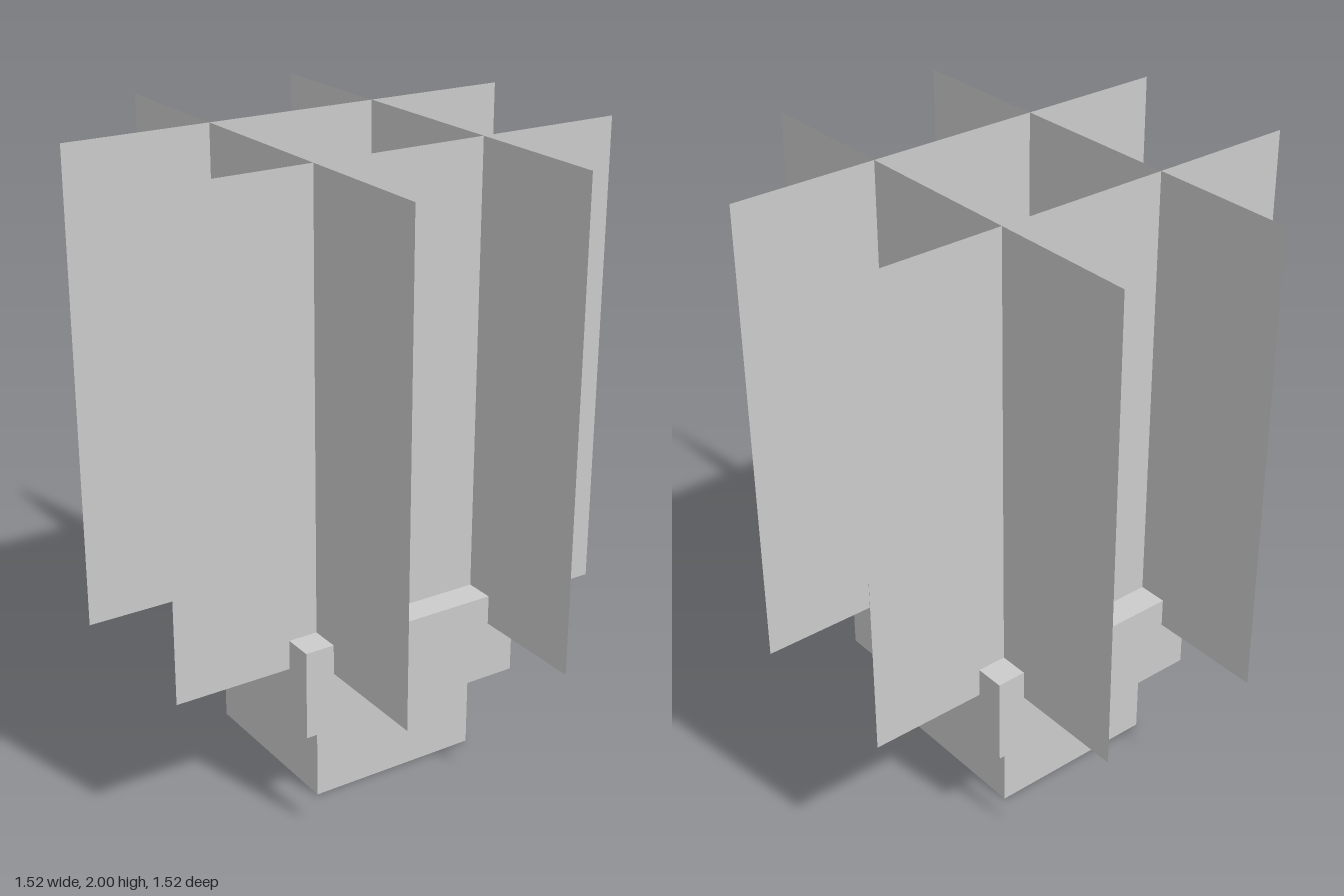
import * as THREE from 'three';

const U = 2 / 21; // model unit: 21 units tall

export function createModel() {
  const model = new THREE.Group();
  const solid = new THREE.MeshStandardMaterial({ color: 0xcccccc, flatShading: true });
  const thin = new THREE.MeshStandardMaterial({ color: 0xcccccc, flatShading: true, side: THREE.DoubleSide });

  // Square block standing between two heights
  function block(name, width, bottom, top) {
    const mesh = new THREE.Mesh(new THREE.BoxGeometry(width * U, (top - bottom) * U, width * U), solid);
    mesh.name = name;
    mesh.position.y = ((bottom + top) / 2) * U;
    model.add(mesh);
  }
  block('potBase', 6, 0, 3);
  block('potRim', 8, 3, 6);

  // Four crossing upright sheets forming the plant
  const sheet = new THREE.PlaneGeometry(16 * U, 16 * U);
  const plant = new THREE.Group();
  plant.name = 'plant';
  plant.position.y = 13 * U;
  for (const side of [-1, 1]) {
    const across = new THREE.Mesh(sheet, thin);
    across.name = side > 0 ? 'frontSheet' : 'backSheet';
    across.position.z = side * 3 * U;

    const along = new THREE.Mesh(sheet, thin);
    along.name = side > 0 ? 'leftSheet' : 'rightSheet';
    along.position.x = side * 3 * U;
    along.rotation.y = Math.PI / 2;
    plant.add(across, along);
  }
  model.add(plant);
  return model;
}
